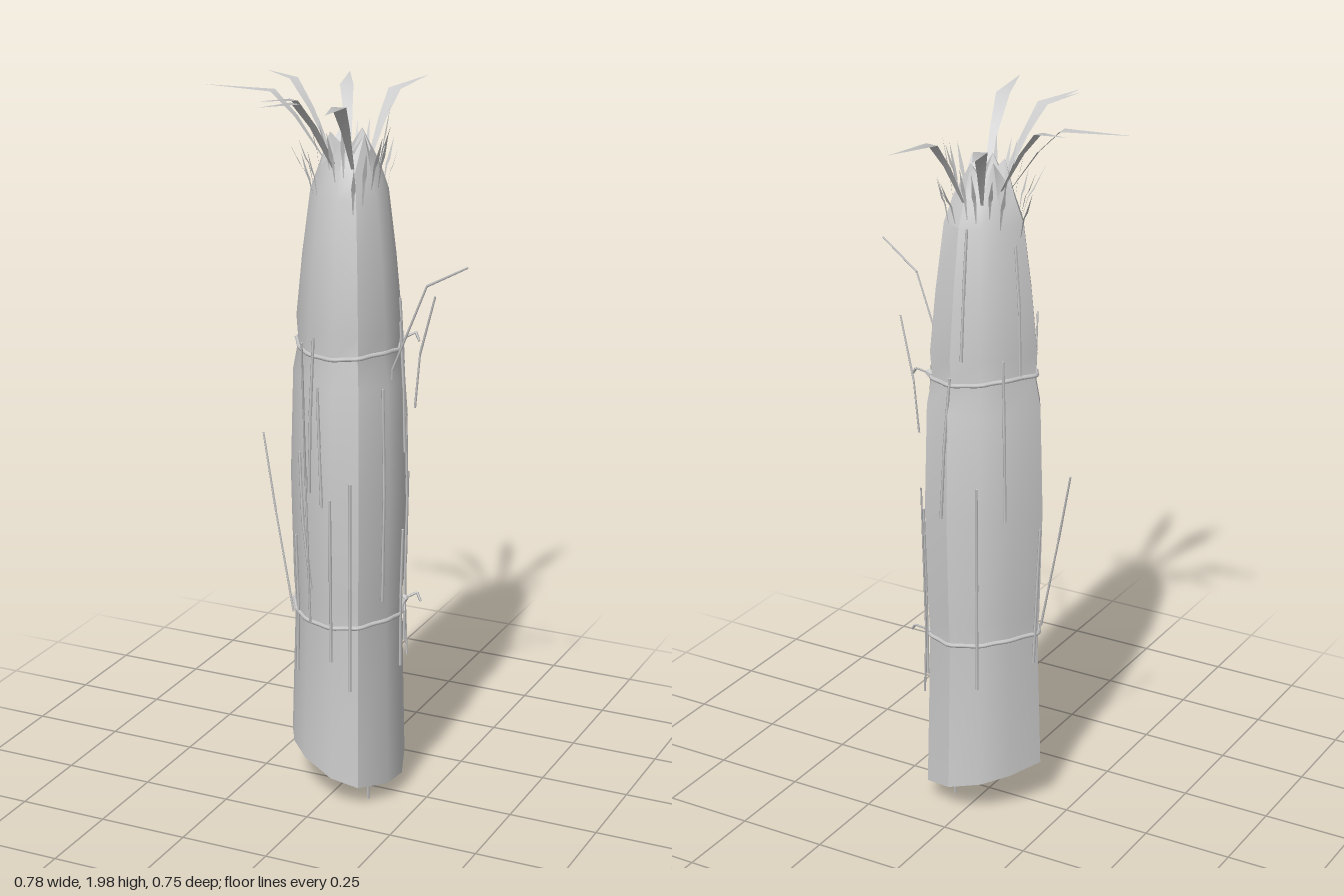
import * as THREE from 'three';
import { toCreasedNormals } from 'three/addons/utils/BufferGeometryUtils.js';

// Cross-section of the bundle (x, z), starting at the left and turning to the front
const SECTION = [[0.165, -0.02], [0.158, 0.06], [0.108, 0.148], [0.03, 0.16], [-0.07, 0.115], [-0.13, 0.06],
  [-0.165, 0], [-0.12, -0.095], [-0.06, -0.155], [0.03, -0.178], [0.12, -0.14]];
// Height and width of the bundle
const RINGS = [[0.09, 1], [0.53, 0.93], [0.6, 0.96], [0.9, 1], [1.2, 0.95], [1.28, 0.86], [1.35, 0.89],
  [1.52, 0.79], [1.7, 0.65], [1.77, 0.5], [1.83, 0.34]];
const N = SECTION.length;
const CX = 0.01, CZ = -0.01;

let seed = 7;
const rand = () => (seed = (seed * 16807) % 2147483647) / 2147483647;
const vec = (p) => new THREE.Vector3(...p);

// Point on the bundle: u counts corners of the section, lift pushes outwards
function surfacePoint(u, y, lift = 0) {
  const i = Math.floor(u), f = u - i;
  const a = SECTION[((i % N) + N) % N], b = SECTION[(((i + 1) % N) + N) % N];
  let k = 0;
  while (k < RINGS.length - 2 && RINGS[k + 1][0] < y) k++;
  const t = THREE.MathUtils.clamp((y - RINGS[k][0]) / (RINGS[k + 1][0] - RINGS[k][0]), 0, 1);
  const s = THREE.MathUtils.lerp(RINGS[k][1], RINGS[k + 1][1], t);
  const x = (a[0] + (b[0] - a[0]) * f - CX) * s, z = (a[1] + (b[1] - a[1]) * f - CZ) * s;
  const g = 1 + lift / Math.hypot(x, z);
  return [CX + x * g, y, CZ + z * g];
}

function geometryFrom(points, index) {
  const g = new THREE.BufferGeometry();
  g.setAttribute('position', new THREE.Float32BufferAttribute(points.flat(), 3));
  g.setIndex(index);
  return g;
}

// Tapering body with a slanted cut below and a jagged crown above
function bodyGeometry() {
  const points = [], index = [];
  const last = RINGS.length - 1;
  RINGS.forEach(([y], j) => {
    for (let i = 0; i < N; i++) {
      const p = surfacePoint(i, y);
      if (j === 0) p[1] = 0.09 - 0.245 * p[0];
      if (j === last) p[1] += i % 2 ? 0.03 : -0.02;
      points.push(p);
    }
  });
  const low = points.push([CX, 0.0875, CZ]) - 1;
  const high = points.push([CX, 1.8, CZ]) - 1;
  for (let i = 0; i < N; i++) {
    const n = (i + 1) % N;
    for (let j = 0; j < last; j++) {
      const a = j * N + i, b = j * N + n;
      index.push(a, a + N, b, b, a + N, b + N);
    }
    index.push(low, i, n, high, last * N + n, last * N + i);
  }
  return toCreasedNormals(geometryFrom(points, index), 0.62);
}

// Leaf blade: narrow foot, broad middle, pointed tip
function leafGeometry(foot, bend, tip, width) {
  const a = vec(foot), c = vec(bend), d = vec(tip);
  const b = a.clone().lerp(c, 0.55).add(new THREE.Vector3(0, 0.015, 0));
  const side = new THREE.Vector3(-(d.z - a.z), 0, d.x - a.x).normalize();
  const points = [];
  [[a, 0.2], [b, 0.65], [c, 1]].forEach(([p, w]) => {
    for (const s of [-0.5, 0.5]) points.push(p.clone().addScaledVector(side, s * w * width).toArray());
  });
  points.push(tip);
  const g = geometryFrom(points, [0, 1, 2, 1, 3, 2, 2, 3, 4, 3, 5, 4, 4, 5, 6]);
  g.computeVertexNormals();
  return g;
}

export function createModel() {
  const model = new THREE.Group();
  const straw = new THREE.MeshStandardMaterial({ color: 0xcccccc, side: THREE.DoubleSide });
  straw.name = 'straw';
  const add = (name, geometry) => {
    const mesh = new THREE.Mesh(geometry, straw);
    mesh.name = name;
    model.add(mesh);
  };
  // Straight stalk sections joined through the given points
  const stalk = (name, pts, radius = 0.004) => {
    for (let i = 0; i < pts.length - 1; i++) {
      const a = vec(pts[i]), b = vec(pts[i + 1]), d = b.clone().sub(a);
      const g = new THREE.CylinderGeometry(radius * 0.8, radius, d.length(), 4);
      g.applyQuaternion(new THREE.Quaternion().setFromUnitVectors(new THREE.Vector3(0, 1, 0), d.normalize()));
      g.translate(...a.add(b).multiplyScalar(0.5).toArray());
      add(name, g);
    }
  };

  add('bundle', bodyGeometry());

  // Two ties with a small knot at the back left
  for (const y of [0.53, 1.285]) {
    const pts = [];
    for (let i = 0; i < N * 2; i++) {
      const p = surfacePoint(i / 2, y, 0.003);
      p[1] += 0.008 * Math.sin(i * 0.57);
      pts.push(vec(p));
    }
    add('tie', new THREE.TubeGeometry(new THREE.CatmullRomCurve3(pts, true), 66, 0.006, 5, true));
    const k = surfacePoint(10.1, y, 0.008);
    const knot = new THREE.IcosahedronGeometry(0.012, 0);
    knot.translate(...k);
    add('knot', knot);
    stalk('tieEnd', [k, [k[0] + 0.03, y + 0.015, k[2] - 0.02], [k[0] + 0.045, y - 0.005, k[2] - 0.01]], 0.004);
    stalk('tieEnd', [k, surfacePoint(10.5, y - 0.02, 0.01)], 0.004);
  }

  // Broad leaves bending out of the top
  const leaves = [
    [[-0.06, 1.78, 0], [-0.2, 1.955, 0.02], [-0.39, 1.96, 0.045], 0.038],
    [[-0.05, 1.78, -0.03], [-0.19, 1.97, -0.085], [-0.285, 1.98, -0.115], 0.03],
    [[-0.03, 1.76, -0.09], [-0.095, 1.94, -0.21], [-0.145, 1.95, -0.338], 0.036],
    [[0.02, 1.75, -0.09], [0.045, 1.94, -0.21], [0.07, 1.95, -0.38], 0.038],
    [[0.05, 1.77, 0.06], [0.085, 1.97, 0.22], [0.12, 1.98, 0.375], 0.038],
    [[0, 1.77, 0.05], [-0.06, 1.97, 0.18], [-0.11, 1.98, 0.288], 0.034],
    [[-0.005, 1.77, 0.06], [-0.045, 1.965, 0.2], [-0.085, 1.975, 0.335], 0.036],
  ];
  leaves.forEach((l) => add('leaf', leafGeometry(...l)));

  // Short blades standing around the shoulder
  for (let i = 0; i < 22; i++) {
    const u = (i + rand() * 0.5) * N / 22;
    const foot = surfacePoint(u, 1.66 + rand() * 0.12, 0.002);
    const out = vec(foot).sub(new THREE.Vector3(CX, foot[1], CZ)).normalize();
    const reach = 0.02 + rand() * 0.045, rise = 0.1 + rand() * 0.07;
    const at = (r, h) => [foot[0] + out.x * r, foot[1] + h, foot[2] + out.z * r];
    add('shortBlade', leafGeometry(foot, at(reach * 0.5, rise * 0.55), at(reach, rise), 0.012));
  }

  // Loose stalks sticking away from the side
  const loose = [
    [[0.15, 1.1, 0.03], [0.15, 1.24, 0.03], [0.26, 1.49, 0.06], [0.385, 1.56, 0.09]],
    [[0.16, 1.1, -0.1], [0.17, 1.25, -0.108], [0.22, 1.42, -0.09]],
    [[-0.04, 0.53, 0.14], [-0.04, 0.95, 0.165], [-0.02, 1.15, 0.215], [0, 1.36, 0.265]],
    [[-0.125, 0.52, 0.07], [-0.19, 0.8, 0.045], [-0.238, 1.01, 0.02]],
    [[0.12, 0.35, -0.15], [0.105, 0.55, -0.165], [0.07, 1.01, -0.24]],
  ];
  loose.forEach((pts) => stalk('looseStalk', pts, 0.0035));

  // Stalks lying along the surface: u and height at both ends
  const lying = [[4.7, 0.35, 4.7, 0.75], [3.75, 0.9, 3.75, 1.33], [3.75, 0.62, 4.3, 1], [3.3, 0.87, 3.5, 1.2],
    [3, 0.43, 3, 0.9], [2.3, 0.35, 2.3, 0.95], [0.1, 0.38, 0.1, 0.78], [0, 1, 0, 1.36], [10.5, 1.05, 10.5, 1.41],
    [10.35, 0.85, 10.35, 1.3], [10, 0.4, 10, 0.9], [9.2, 0.9, 9, 1.3], [8.1, 0.4, 8.1, 1], [7.2, 0.9, 7.2, 1.35],
    [6.2, 0.45, 6.1, 0.85], [6.6, 1.3, 6.5, 1.65], [1.2, 0.6, 1.2, 1.2], [8.6, 1.35, 8.6, 1.7]];
  lying.forEach(([u0, y0, u1, y1]) => {
    const mid = surfacePoint((u0 + u1) / 2, (y0 + y1) / 2, 0.004);
    stalk('lyingStalk', [surfacePoint(u0, y0, 0.004), mid, surfacePoint(u1, y1, 0.004)], 0.005);
  });

  // Stubs hanging from the cut end
  [[-0.05, 0.05, 0.03], [0.035, 0.04, -0.015], [0.06, 0.01, -0.09], [0.105, 0, 0.075]].forEach(([x, y, z]) =>
    stalk('stub', [[x, y, z], [x, 0.12, z]], 0.004));

  return model;
}
